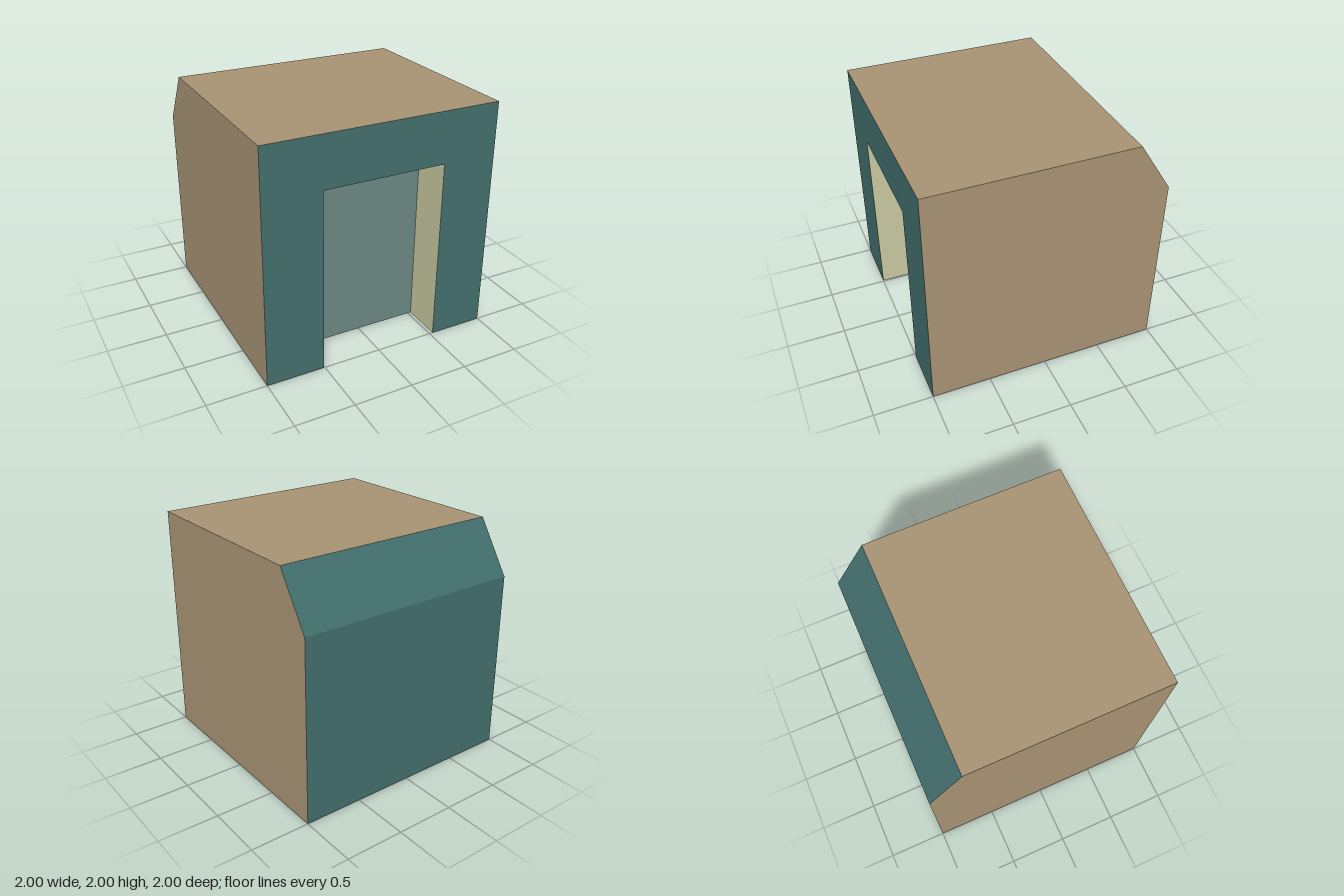
import * as THREE from 'three';

const mat = (name, color) => {
  const m = new THREE.MeshStandardMaterial({ color });
  m.name = name;
  return m;
};

export function createModel() {
  const group = new THREE.Group();
  const teal = mat('teal', 0x426f6d);
  const tan = mat('tan', 0xa79373);
  const cream = mat('cream', 0xc8c8a0);
  const grey = mat('greyGreen', 0x6d8782);

  const doorL = -0.51, doorR = 0.53, doorTop = 1.565, recess = 0.655;
  const slopeZ = -0.715, slopeY = 1.56;

  const add = (name, geometry, material) => {
    const mesh = new THREE.Mesh(geometry, material);
    mesh.name = name;
    group.add(mesh);
    return mesh;
  };
  const outline = (points) =>
    new THREE.ShapeGeometry(new THREE.Shape(points.map(([x, y]) => new THREE.Vector2(x, y))));
  // flat four-cornered panel, corners counter-clockwise from its front
  const panel = (name, material, corners) => {
    const g = new THREE.BufferGeometry();
    g.setAttribute('position', new THREE.Float32BufferAttribute(corners.flat(), 3));
    g.setIndex([0, 1, 2, 0, 2, 3]);
    g.computeVertexNormals();
    return add(name, g, material);
  };

  // front wall with doorway
  add('frontWall', outline([
    [-1, 0], [doorL, 0], [doorL, doorTop], [doorR, doorTop],
    [doorR, 0], [1, 0], [1, 2], [-1, 2],
  ]), teal).position.z = 1;

  // side walls with the sloped rear corner
  for (const side of [1, -1]) {
    const profile = [[1, 0], [1, 2], [slopeZ, 2], [-1, slopeY], [-1, 0]];
    const g = outline(profile.map(([z, y]) => [-side * z, y])).rotateY(side * Math.PI / 2);
    add(side > 0 ? 'leftWall' : 'rightWall', g, tan).position.x = side;
  }

  // roof, rear slope and back wall
  panel('roof', tan, [[-1, 2, 1], [1, 2, 1], [1, 2, slopeZ], [-1, 2, slopeZ]]);
  panel('rearSlope', teal, [[-1, 2, slopeZ], [1, 2, slopeZ], [1, slopeY, -1], [-1, slopeY, -1]]);
  panel('backWall', teal, [[1, 0, -1], [-1, 0, -1], [-1, slopeY, -1], [1, slopeY, -1]]);

  // recessed door with its jambs and lintel
  panel('door', grey, [[doorL, 0, recess], [doorR, 0, recess], [doorR, doorTop, recess], [doorL, doorTop, recess]]);
  panel('rightJamb', cream, [[doorL, 0, 1], [doorL, 0, recess], [doorL, doorTop, recess], [doorL, doorTop, 1]]);
  panel('leftJamb', cream, [[doorR, 0, recess], [doorR, 0, 1], [doorR, doorTop, 1], [doorR, doorTop, recess]]);
  panel('lintel', cream, [[doorL, doorTop, recess], [doorR, doorTop, recess], [doorR, doorTop, 1], [doorL, doorTop, 1]]);

  // underside in two colours, meeting along a stepped line
  const step = [[-1, 0], [-0.53, 0], [-0.49, -0.155], [0.525, -0.155], [0.54, 0], [1, 0]];
  add('rearUnderside', outline([[1, -1], [-1, -1], ...step]).rotateX(Math.PI / 2), teal);
  add('frontUnderside', outline([
    ...step, [1, 1], [doorR, 1], [doorR, recess], [doorL, recess], [doorL, 1], [-1, 1],
  ]).rotateX(Math.PI / 2), grey);

  return group;
}
